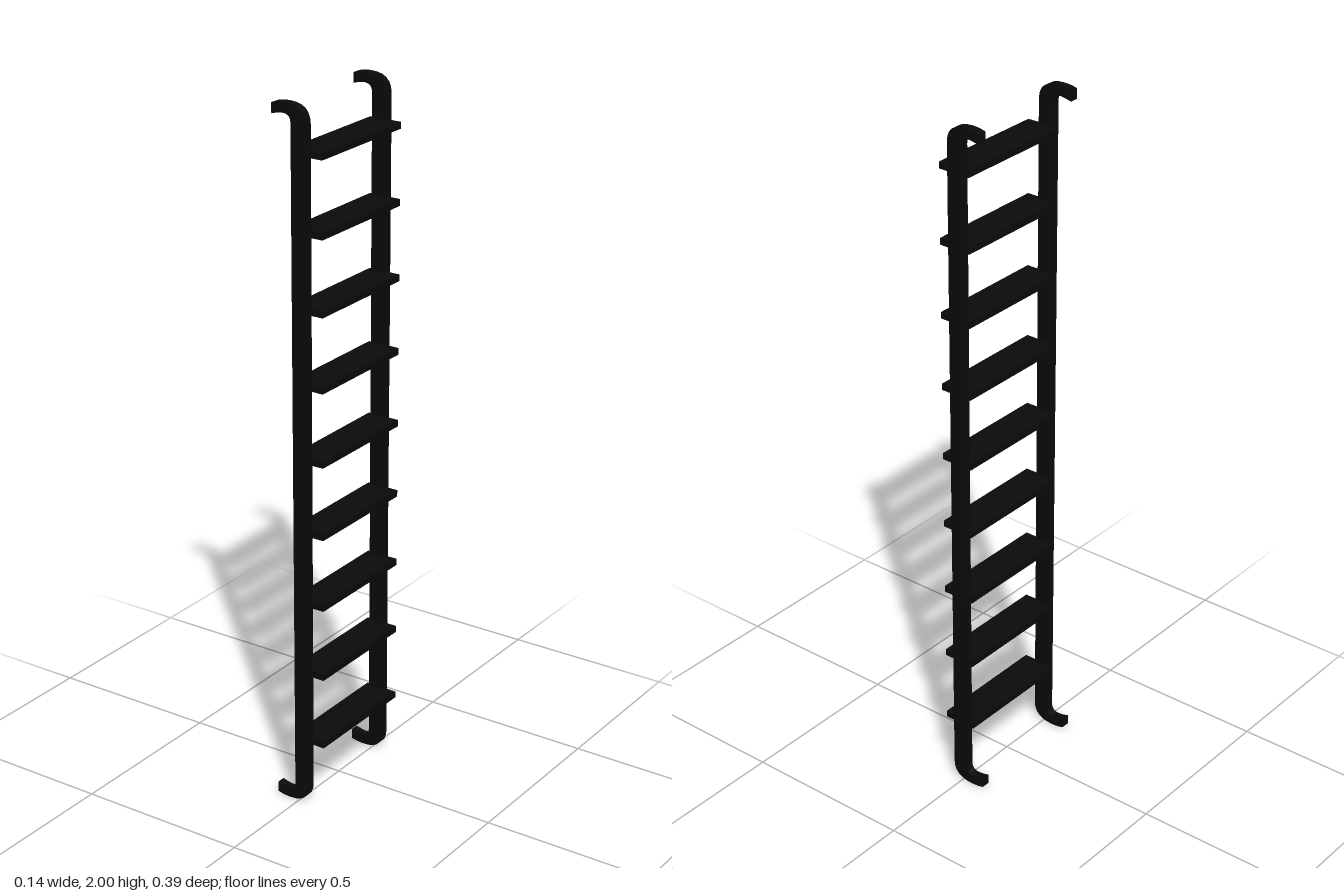
import * as THREE from 'three';

const material = new THREE.MeshStandardMaterial({ color: 0x0a0a0a });

// Flat bar whose two ends bend back towards the wall, symmetric about y = 1
function railShape() {
  const s = new THREE.Shape();
  s.moveTo(0.032, 0.052);
  s.lineTo(0.032, 1.948);
  s.bezierCurveTo(0.032, 1.985, 0.008, 2, -0.03, 2);
  s.quadraticCurveTo(-0.055, 2, -0.072, 1.994);
  s.lineTo(-0.072, 1.965);
  s.quadraticCurveTo(-0.05, 1.972, -0.035, 1.972);
  s.quadraticCurveTo(-0.013, 1.971, -0.013, 1.948);
  s.lineTo(-0.013, 0.052);
  s.quadraticCurveTo(-0.013, 0.029, -0.035, 0.028);
  s.quadraticCurveTo(-0.05, 0.028, -0.072, 0.035);
  s.lineTo(-0.072, 0.006);
  s.quadraticCurveTo(-0.055, 0, -0.03, 0);
  s.bezierCurveTo(0.008, 0, 0.032, 0.015, 0.032, 0.052);
  return s;
}

export function createModel() {
  const ladder = new THREE.Group();
  ladder.name = 'ladder';

  // Side rails
  const depth = 0.025;
  const railGeometry = new THREE.ExtrudeGeometry(railShape(), { depth, bevelEnabled: false, curveSegments: 6 });
  for (const [name, z] of [['frontRail', 0.183], ['backRail', -0.185]]) {
    const rail = new THREE.Mesh(railGeometry, material);
    rail.name = name;
    rail.position.z = z - depth / 2;
    ladder.add(rail);
  }

  // Flat treads, reaching further out on the climbing side
  const rungGeometry = new THREE.BoxGeometry(0.096, 0.019, 0.36);
  for (let i = 0; i < 9; i++) {
    const rung = new THREE.Mesh(rungGeometry, material);
    rung.name = `rung${i + 1}`;
    rung.position.set(0.023, 0.188 + i * 0.2103, -0.003);
    ladder.add(rung);
  }
  return ladder;
}
